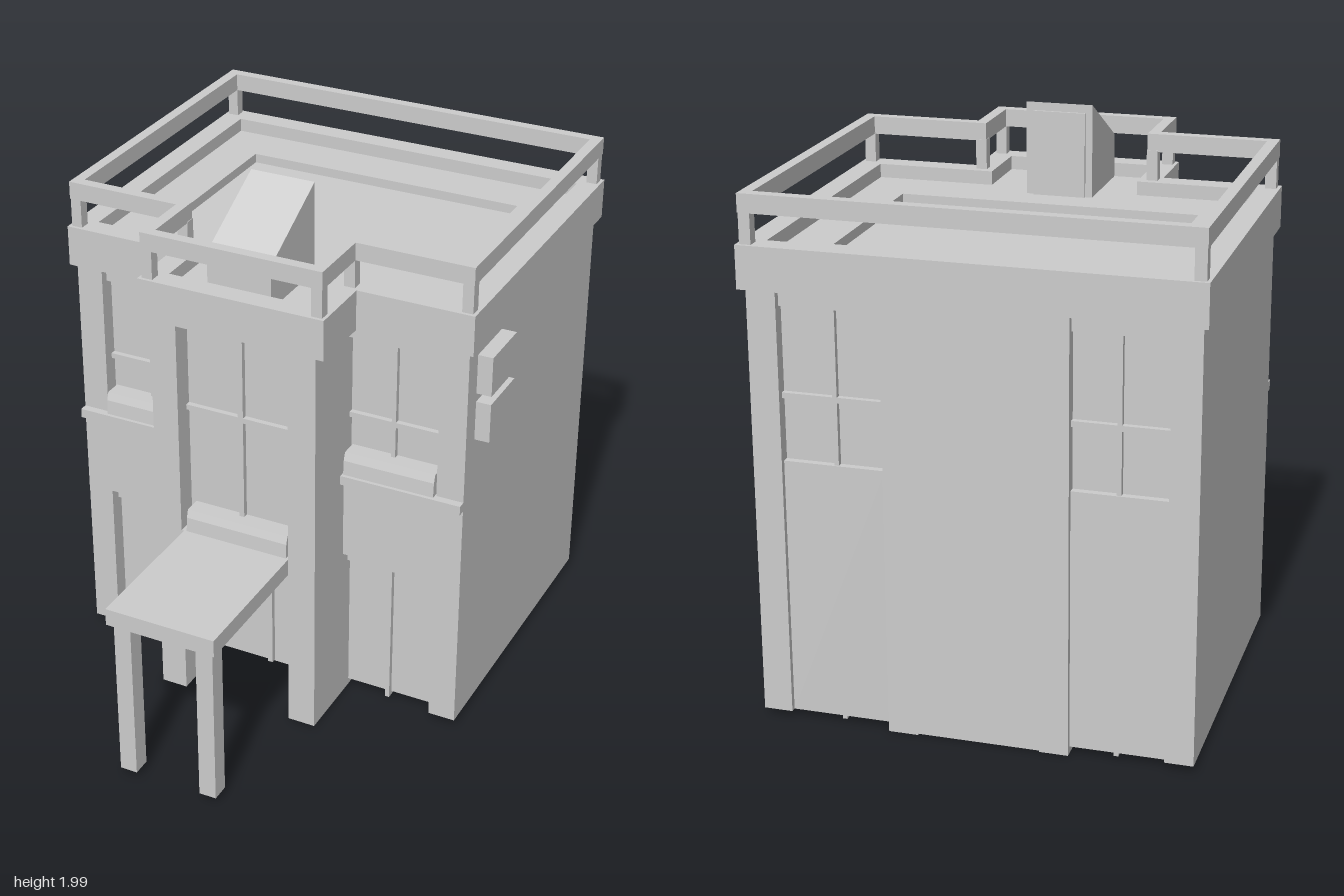
import * as THREE from 'three';

const material = new THREE.MeshStandardMaterial({
  color: 0xcccccc, flatShading: true, side: THREE.DoubleSide,
});

export function createModel() {
  const model = new THREE.Group();

  const add = (name, geometry) => {
    const mesh = new THREE.Mesh(geometry, material);
    mesh.name = name;
    model.add(mesh);
    return mesh;
  };

  // Box given by its extents on each axis
  const boxGeometry = (x0, x1, y0, y1, z0, z1) =>
    new THREE.BoxGeometry(x1 - x0, y1 - y0, z1 - z0)
      .translate((x0 + x1) / 2, (y0 + y1) / 2, (z0 + z1) / 2);
  const box = (name, ...extents) => add(name, boxGeometry(...extents));

  // Same box without its underside, for everything that stands on the ground
  const shell = (name, ...extents) => {
    const g = boxGeometry(...extents);
    const faces = Array.from(g.index.array);
    faces.splice(18, 6);
    g.setIndex(faces);
    g.clearGroups();
    return add(name, g);
  };

  // Side profile of [z, y] points, extruded from x0 to x1
  const prism = (name, profile, x0, x1) => {
    const shape = new THREE.Shape(profile.map(([z, y]) => new THREE.Vector2(-z, y)));
    const g = new THREE.ExtrudeGeometry(shape, { depth: x1 - x0, bevelEnabled: false });
    return add(name, g.rotateY(Math.PI / 2).translate(x0, 0, 0));
  };

  // Plan outline of the roof with its front bay, moved inwards by d
  const outline = (d) => [
    [-0.8 + d, -1 + d], [0.763 - d, -1 + d], [0.763 - d, 0.24 - d], [0.333 - d, 0.24 - d],
    [0.333 - d, 0.49 - d], [-0.37 + d, 0.49 - d], [-0.37 + d, 0.24 - d], [-0.8 + d, 0.24 - d],
  ].map(([x, z]) => new THREE.Vector2(x, z));

  // Plan shape with a hole, extruded from y0 to y1
  const plan = (name, outer, hole, y0, y1) => {
    const shape = new THREE.Shape(outer);
    shape.holes.push(new THREE.Path(hole));
    const g = new THREE.ExtrudeGeometry(shape, { depth: y1 - y0, bevelEnabled: false });
    return add(name, g.rotateX(Math.PI / 2).translate(0, y1, 0));
  };

  // Leaning sill piece standing on a ledge, with its front foot at z
  const sill = (name, x0, x1, y, z) =>
    prism(name, [[z - 0.1, y], [z, y], [z - 0.004, y + 0.055], [z - 0.014, y + 0.085], [z - 0.1, y + 0.085]], x0, x1);

  // Corner piers
  shell('cornerPier', -0.78, -0.68, 0.025, 1.55, -0.975, 0.22);
  shell('cornerPier', 0.64, 0.742, 0.025, 1.55, -0.975, 0.22);

  // Side wings: recessed glazing, mullions running front to back, panels
  for (const [x0, x1, px0, px1] of [[-0.68, -0.35, -0.78, -0.35], [0.285, 0.64, 0.285, 0.742]]) {
    const mid = x0 < 0 ? -0.51 : 0.455;
    shell('wingGlazing', x0, x1, 0.025, 1.55, -0.93, 0.16);
    shell('wingMullion', mid - 0.008, mid + 0.008, 0.01, 1.5, -0.95, 0.18);
    box('windowBar', x0, x1, 1.17, 1.19, -0.95, 0.18);
    box('windowHeader', x0, x1, 1.49, 1.55, -0.95, 0.19);
    box('lowerTransom', x0, x1, 0.57, 0.6, 0.16, 0.18);
    box('spandrel', px0, px1, 0.62, 0.93, 0.16, 0.221);
    box('ledge', px0, px1, 0.93, 0.965, 0.16, 0.25);
    sill('windowSill', x0 + 0.005, x1 - 0.005, 0.965, 0.237);
    shell('backPanel', x0, x1, 0.025, 0.95, -0.955, -0.93);
  }

  // Central bay: columns, upper window, deep entrance below
  shell('bayColumn', -0.35, -0.25, 0, 1.55, -0.975, 0.45);
  shell('bayColumn', 0.18, 0.285, 0, 1.55, -0.975, 0.45);
  shell('entranceCore', -0.25, 0.18, 0.005, 1.55, -0.975, 0.16);
  box('bayGlazing', -0.25, 0.18, 0.62, 1.55, 0.16, 0.37);
  box('bayMullion', -0.045, -0.025, 0.7, 1.55, 0.37, 0.39);
  box('bayWindowBar', -0.25, 0.18, 1.17, 1.19, 0.37, 0.39);
  box('baySpandrel', -0.25, 0.18, 0.62, 0.7, 0.37, 0.45);
  sill('baySill', -0.23, 0.17, 0.7, 0.448);
  shell('entranceMullion', -0.045, -0.025, 0.01, 0.6, 0.16, 0.18);
  box('entranceTransom', -0.25, 0.18, 0.57, 0.6, 0.16, 0.18);

  // Corner piece of floor under the back of the core
  const corner = [[0.285, -0.97], [-0.35, -0.97], [0.285, -0.62]];
  const patch = new THREE.ShapeGeometry(new THREE.Shape(corner.map(([x, z]) => new THREE.Vector2(x, z))));
  add('floorPatch', patch.rotateX(Math.PI / 2).translate(0, 0.003, 0));

  // Porch
  box('porchRoof', -0.24, 0.18, 0.635, 0.7, 0.45, 1);
  for (const x of [-0.21, 0.108]) shell('porchPost', x, x + 0.065, 0.025, 0.635, 0.93, 0.998);

  // Roof deck with sunken middle, and parapet
  const sunken = [[-0.56, -0.74], [0.523, -0.74], [0.523, -0.05], [-0.56, -0.05]]
    .map(([x, z]) => new THREE.Vector2(x, z));
  plan('roofDeck', outline(0.03), sunken, 1.552, 1.65);
  box('sunkenRoof', -0.58, 0.54, 1.56, 1.615, -0.76, -0.03);
  plan('parapet', outline(0), outline(0.08), 1.55, 1.7);

  // Railing on posts at each corner
  plan('railing', outline(0.01), outline(0.05), 1.805, 1.87);
  outline(0.032).forEach(({ x, y }) =>
    box('railPost', x - 0.02, x + 0.02, 1.69, 1.81, y - 0.02, y + 0.02));

  // Roof stair housing with a door at the back
  prism('stairHousing', [[0.08, 1.62], [0.405, 1.62], [0.405, 1.81], [0.08, 1.985]], -0.145, 0.097);
  box('stairDoor', -0.12, 0.07, 1.62, 1.955, 0.07, 0.09);

  // Wall units on the left side
  for (const y of [1.18, 1.36]) {
    box('wallUnit', 0.73, 0.797, y, y + 0.148, -0.067, 0.145);
    box('wallUnitPipe', 0.74, 0.765, y + 0.09, y + 0.13, -0.092, -0.06);
  }

  return model;
}
